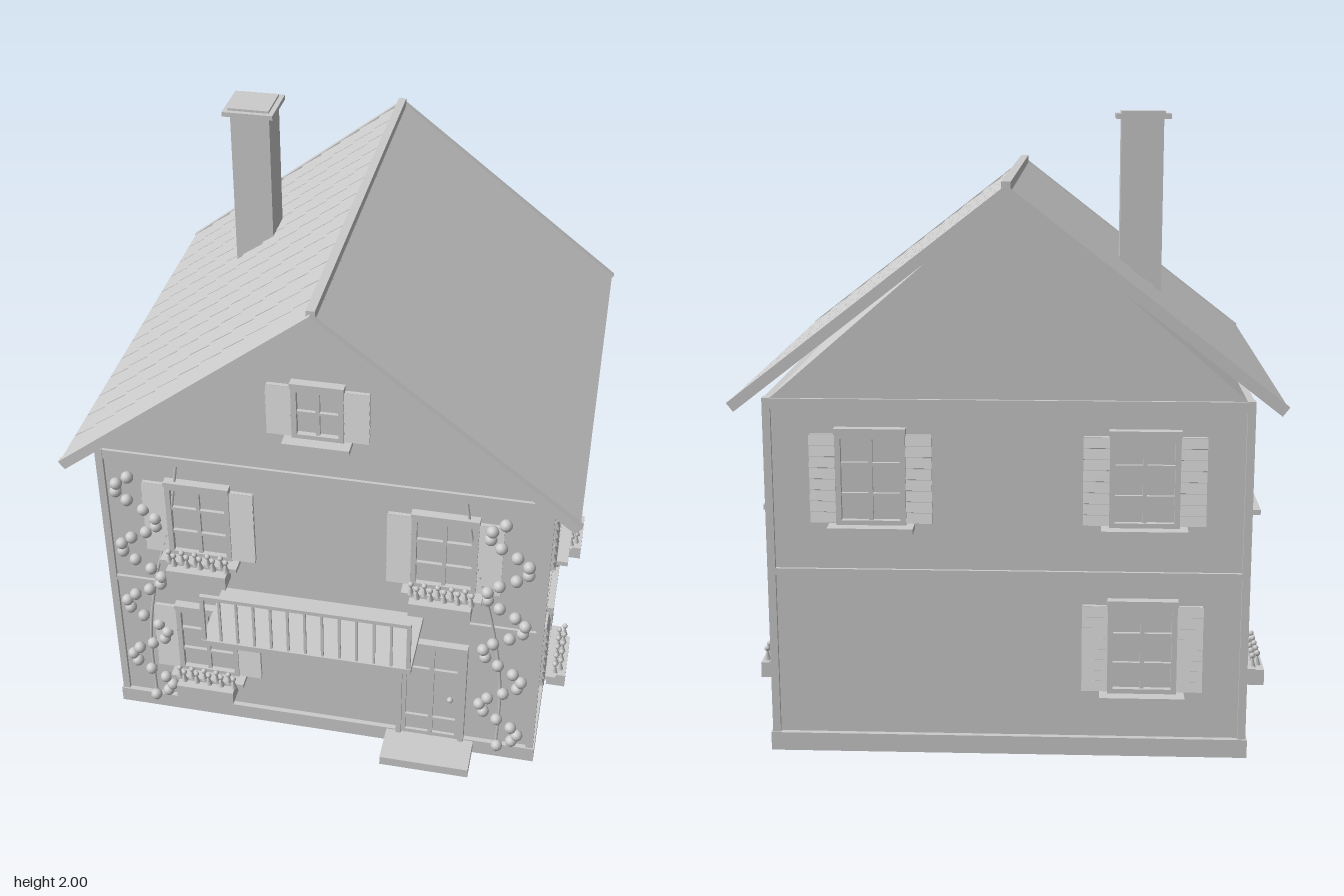
import * as THREE from 'three';
import { mergeGeometries } from 'three/addons/utils/BufferGeometryUtils.js';

const material = new THREE.MeshStandardMaterial({ color: 0xcccccc });

// Box given by its centre and size, with an optional tilt about x and z
function box(x, y, z, w, h, d, tiltX = 0, tiltZ = 0) {
  return new THREE.BoxGeometry(w, h, d).rotateX(tiltX).rotateZ(tiltZ).translate(x, y, z);
}

// Box given by its limits
function span(x0, x1, y0, y1, z0, z1) {
  return box((x0 + x1) / 2, (y0 + y1) / 2, (z0 + z1) / 2, x1 - x0, y1 - y0, z1 - z0);
}

function ball(x, y, z, r, w = 10, h = 8) {
  return new THREE.SphereGeometry(r, w, h).translate(x, y, z);
}

function part(parent, name, geometries) {
  const mesh = new THREE.Mesh(mergeGeometries(geometries), material);
  mesh.name = name;
  parent.add(mesh);
  return mesh;
}

// Wall planes
const WX = 0.738, ZF = 0.598, ZB = -0.763;

function createWalls(house) {
  part(house, 'walls', [span(-WX, WX, 0.02, 1.15, ZB, ZF)]);
  part(house, 'plinth', [span(-0.755, 0.755, 0, 0.06, -0.78, 0.615)]);

  // Corner posts and horizontal beams
  const trim = [];
  for (const s of [-1, 1]) {
    for (const z of [-0.7625, 0.5975]) trim.push(box(s * 0.7375, 0.6, z, 0.025, 1.1, 0.025));
    for (const [y, h] of [[0.595, 0.022], [1.13, 0.035]]) {
      trim.push(box(s * 0.7385, y, -0.0825, 0.019, h, 1.36));
    }
  }
  for (const z of [-0.7635, 0.5985]) {
    for (const [y, h] of [[0.595, 0.022], [1.13, 0.035]]) trim.push(box(0, y, z, 1.475, h, 0.019));
  }
  part(house, 'wallTrim', trim);

  const triangle = new THREE.Shape([[-0.73, 1.145], [0.73, 1.145], [0, 1.775]].map(p => new THREE.Vector2(...p)));
  const gable = new THREE.ExtrudeGeometry(triangle, { depth: ZF - ZB, bevelEnabled: false });
  part(house, 'gables', [gable.translate(0, 0, ZB)]);
}

// Both slopes are built flat along x, then tilted down from the ridge
function createRoof(house) {
  const angle = Math.atan2(0.65, 0.84), length = 1.06, rows = 11, columns = 13;
  const pitch = (length - 0.02) / rows, width = 1.52 / columns;
  for (const side of [0, 1]) {
    const pivot = new THREE.Group();
    pivot.name = side ? 'roofRightSlope' : 'roofLeftSlope';
    pivot.position.set(0, 1.8, -0.08);
    pivot.rotation.y = side * Math.PI;
    const slope = new THREE.Group();
    slope.name = 'roofSlope';
    slope.rotation.z = -angle;
    pivot.add(slope);
    part(slope, 'roofDeck', [span(0, length - 0.01, -0.03, -0.014, -0.765, 0.765)]);
    part(slope, 'bargeBoards', [-0.77, 0.77].map(z => box(length / 2, -0.017, z, length, 0.034, 0.022)));
    const tiles = [];
    for (let r = 0; r < rows; r++) {
      for (let c = 0; c < columns; c++) {
        tiles.push(box((r + 0.5) * pitch + 0.012, -0.009, (c + 0.5) * width - 0.76,
          pitch, 0.01, width - 0.005, 0, 0.06));
      }
    }
    part(slope, 'roofTiles', tiles);
    house.add(pivot);
  }
  part(house, 'ridgeCap', [box(0, 1.796, -0.08, 0.028, 0.026, 1.53)]);
  part(house, 'chimney', [
    span(-0.48, -0.345, 1.3, 1.98, -0.358, -0.222),
    span(-0.502, -0.328, 1.976, 1.992, -0.38, -0.2),
    span(-0.485, -0.345, 1.99, 2, -0.363, -0.217),
  ]);
}

// Window facing +z with its centre on the wall plane
function createWindow(w, h, rows, planter) {
  const g = new THREE.Group();
  g.name = 'window';
  part(g, 'windowGlass', [box(0, 0, 0.002, w, h, 0.008)]);
  const frame = [];
  for (const s of [-1, 1]) {
    frame.push(box(s * (w / 2 - 0.008), 0, 0.012, 0.017, h, 0.024));
    frame.push(box(0, s * (h / 2 - 0.008), 0.012, w, 0.017, 0.024));
  }
  frame.push(box(0, 0, 0.009, 0.013, h, 0.018));
  for (let i = 1; i < rows; i++) frame.push(box(0, -h / 2 + h * i / rows, 0.009, w, 0.011, 0.018));
  frame.push(box(0, h / 2 + 0.008, 0.015, w + 0.005, 0.018, 0.03));
  part(g, 'windowFrame', frame);
  part(g, 'windowSill', [box(0, -h / 2 - 0.007, 0.031, w + 0.05, 0.017, 0.062)]);

  // Louvred shutters
  const shutters = [], slats = Math.round(h / 0.036);
  for (const s of [-1, 1]) {
    const x = s * (w / 2 + 0.041);
    shutters.push(box(x, 0, 0.007, 0.076, h - 0.01, 0.014));
    for (let i = 0; i < slats; i++) {
      const y = -h / 2 + 0.005 + (h - 0.01) * (i + 0.5) / slats;
      shutters.push(box(x, y, 0.016, 0.08, (h - 0.01) / slats - 0.003, 0.008, -0.3));
    }
  }
  part(g, 'shutters', shutters);

  if (planter) {
    const top = -h / 2 - 0.014;
    part(g, 'flowerBox', [box(0, top - 0.026, 0.062, w - 0.01, 0.052, 0.066)]);
    const flowers = [];
    for (let i = 0; i < 10; i++) {
      const x = (i - 4.5) * w / 9.6, z = 0.064 + (i % 2 ? 0.009 : -0.009);
      flowers.push(new THREE.ConeGeometry(0.012, 0.04, 6).translate(x, top + 0.03, z));
      flowers.push(ball(x, top + 0.05, z, 0.01, 7, 5));
    }
    part(g, 'flowers', flowers);
  }
  return g;
}

function createWindows(house) {
  const place = (x, y, z, turn, planter, w = 0.215, h = 0.29, rows = 3) => {
    const win = createWindow(w, h, rows, planter);
    win.position.set(x, y, z);
    win.rotation.y = turn;
    house.add(win);
  };
  const low = 0.357, high = 0.897;
  for (const s of [-1, 1]) {
    for (const z of [0.272, -0.438]) {
      place(s * WX, low, z, s * Math.PI / 2, true);
      place(s * WX, high, z, s * Math.PI / 2, false);
    }
    place(s * 0.41, high, ZF, 0, true);
    place(s * 0.42, high, ZB, Math.PI, false);
  }
  place(-0.41, low, ZF, 0, true);
  place(-0.42, low, ZB, Math.PI, false);
  place(0, 1.395, ZF, 0, false, 0.165, 0.19, 2);
}

function createEntrance(house) {
  part(house, 'doorStep', [span(0.23, 0.54, 0.02, 0.055, 0.58, 0.75)]);
  part(house, 'doorFrame', [
    span(0.265, 0.283, 0.05, 0.5, 0.59, 0.625), span(0.487, 0.505, 0.05, 0.5, 0.59, 0.625),
    span(0.265, 0.505, 0.482, 0.5, 0.59, 0.625),
  ]);
  const door = [span(0.28, 0.49, 0.05, 0.485, 0.59, 0.606)];
  for (const x of [0.289, 0.385, 0.481]) door.push(box(x, 0.27, 0.609, 0.016, 0.43, 0.014));
  for (const y of [0.065, 0.14, 0.37, 0.475]) door.push(box(0.385, y, 0.609, 0.2, 0.014, 0.014));
  part(house, 'door', door);
  part(house, 'doorKnob', [ball(0.453, 0.255, 0.625, 0.011)]);
}

function createBalcony(house) {
  part(house, 'balconyFloor', [span(-0.348, 0.348, 0.588, 0.61, 0.59, 0.86)]);
  const rail = [box(0, 0.793, 0.851, 0.69, 0.014, 0.014)];
  for (let i = 0; i <= 12; i++) {
    const thick = i % 12 ? 0.008 : 0.013;
    rail.push(box(-0.339 + i * 0.0565, 0.7, 0.851, thick, 0.19, thick));
  }
  part(house, 'balconyRailing', rail);
  part(house, 'balconyBrackets', [-0.265, 0.265].map(x =>
    box(x, 0.52, 0.716, 0.018, 0.02, 0.25, -Math.atan2(0.11, 0.22))));
}

function createVines(house) {
  for (const s of [-1, 1]) {
    const leaves = [];
    for (let i = 0; i < 32; i++) {
      const y = 0.062 + i * 0.0321;
      const x = s * 0.622 + 0.069 * Math.cos((y - 0.88) / 0.252 * Math.PI * 2);
      leaves.push(ball(x, y, 0.621, 0.021));
    }
    part(house, s > 0 ? 'leftVineLeaves' : 'rightVineLeaves', leaves);
    const path = new THREE.CatmullRomCurve3([[0.62, 0.02], [0.62, 0.35], [0.58, 0.62], [0.51, 0.9], [0.475, 1.12]]
      .map(([x, y]) => new THREE.Vector3(s * x, y, 0.612)));
    part(house, s > 0 ? 'leftVineStem' : 'rightVineStem', [new THREE.TubeGeometry(path, 20, 0.005, 6)]);
  }
}

export function createModel() {
  const house = new THREE.Group();
  house.name = 'house';
  createWalls(house);
  createRoof(house);
  createWindows(house);
  createEntrance(house);
  createBalcony(house);
  createVines(house);
  return house;
}
